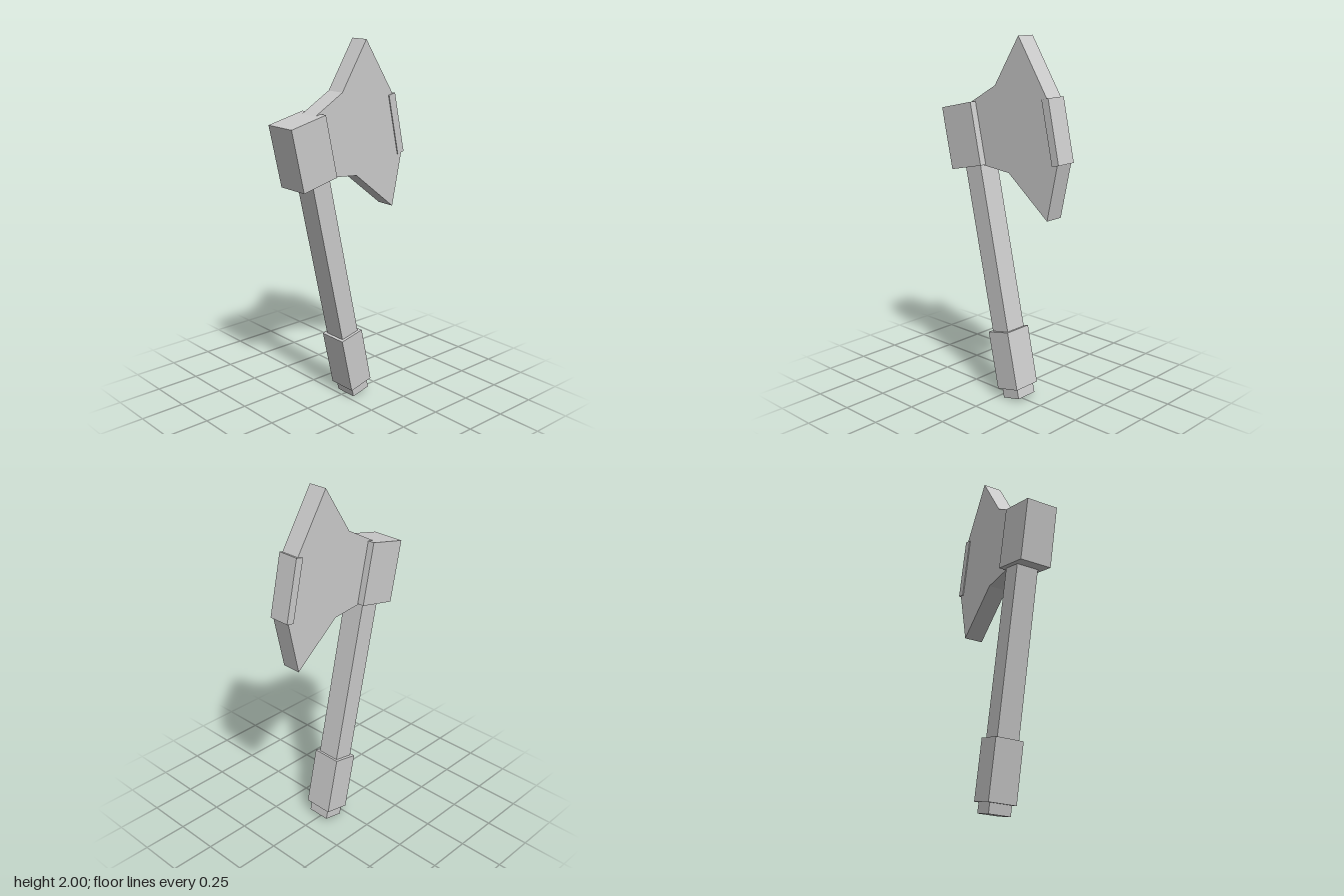
import * as THREE from 'three';

const TILT = THREE.MathUtils.degToRad(12.6);

export function createModel() {
  const axe = new THREE.Group();
  axe.name = 'axe';
  const grey = new THREE.MeshStandardMaterial({ color: 0xcccccc });
  grey.name = 'plain grey';

  // Every block leans with the handle
  function block(name, width, height, depth, x, y) {
    const mesh = new THREE.Mesh(new THREE.BoxGeometry(width, height, depth), grey);
    mesh.name = name;
    mesh.position.set(x, y, -0.002);
    mesh.rotation.z = TILT;
    axe.add(mesh);
  }

  // Handle runs from the butt up into the head
  const length = 1.45;
  block('handle', 0.115, length, 0.13,
    0.091 - Math.sin(TILT) * length / 2, 0.015 + Math.cos(TILT) * length / 2);
  block('grip', 0.148, 0.327, 0.165, 0.0425, 0.23);
  block('head', 0.226, 0.342, 0.186, -0.2575, 1.454);
  block('cuttingEdge', 0.045, 0.338, 0.119, 0.3475, 1.535);

  // Flared blade with a square-cut rim
  const outline = [
    [-0.225, 1.635], [-0.04, 1.74], [0.125, 2.0], [0.32, 1.7],
    [0.393, 1.37], [0.33, 1.075], [0.06, 1.29], [-0.13, 1.308],
  ].map(([x, y]) => new THREE.Vector2(x, y));
  const bladeGeometry = new THREE.ExtrudeGeometry(new THREE.Shape(outline), {
    depth: 0.108, bevelEnabled: false,
  });
  bladeGeometry.translate(0, 0, -0.056);
  const blade = new THREE.Mesh(bladeGeometry, grey);
  blade.name = 'blade';
  axe.add(blade);

  return axe;
}
